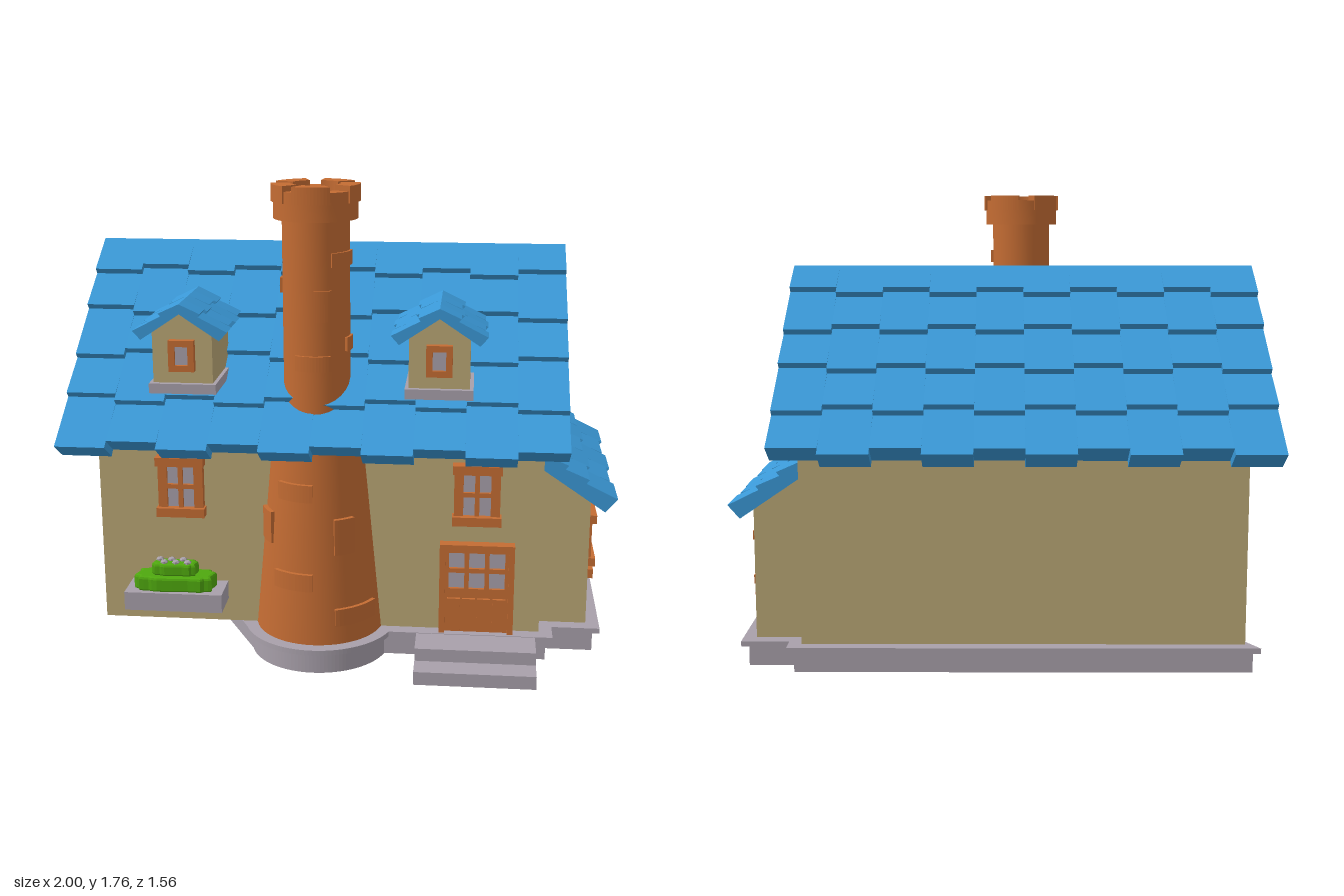
import * as THREE from 'three';
import { toCreasedNormals } from 'three/addons/utils/BufferGeometryUtils.js';

const mat = (name, color, side = THREE.FrontSide) => {
  const m = new THREE.MeshStandardMaterial({ color, side });
  m.name = name;
  return m;
};

export function createModel() {
  const wall = mat('sand plaster', 0xb9a675, THREE.DoubleSide);
  const blue = mat('blue tile', 0x3a98d6);
  const brown = mat('orange brown', 0xc46c33, THREE.DoubleSide);
  const grey = mat('grey stone', 0xa8a0aa);
  const green = mat('leaf green', 0x4fa80f);

  const root = new THREE.Group();
  root.name = 'cottage';

  const add = (parent, name, geo, material, x = 0, y = 0, z = 0) => {
    const m = new THREE.Mesh(geo, material);
    m.name = name;
    m.position.set(x, y, z);
    parent.add(m);
    return m;
  };
  const group = (name, x = 0, y = 0, z = 0, parent = root) => {
    const g = new THREE.Group();
    g.name = name;
    g.position.set(x, y, z);
    parent.add(g);
    return g;
  };
  // box given by its lower and upper corners
  const block = (parent, name, material, x0, x1, y0, y1, z0, z1) =>
    add(parent, name, new THREE.BoxGeometry(x1 - x0, y1 - y0, z1 - z0), material,
      (x0 + x1) / 2, (y0 + y1) / 2, (z0 + z1) / 2);
  const polygon = pts => new THREE.Shape(pts.map(p => new THREE.Vector2(p[0], p[1])));
  const extrude = (shape, depth, curveSegments = 20) =>
    new THREE.ExtrudeGeometry(shape, { depth, bevelEnabled: false, curveSegments });

  // drops the faces that point straight down, leaving a hollow shell
  const openBottom = geo => {
    const p = geo.getAttribute('position'), n = geo.getAttribute('normal');
    const pos = [], nor = [];
    for (let i = 0; i < p.count; i++) {
      if (n.getY(i) < -0.9) continue;
      pos.push(p.getX(i), p.getY(i), p.getZ(i));
      nor.push(n.getX(i), n.getY(i), n.getZ(i));
    }
    const out = new THREE.BufferGeometry();
    out.setAttribute('position', new THREE.Float32BufferAttribute(pos, 3));
    out.setAttribute('normal', new THREE.Float32BufferAttribute(nor, 3));
    return out;
  };

  // one roof slope: a row of stepped columns, slope along +x, length centred on z
  const roofSlope = (parent, name, o) => {
    const g = group(name, 0, 0, 0, parent);
    const w = o.length / o.cols;
    for (let c = 0; c < o.cols; c++) {
      const pts = [[0, 0], [0, o.thick]];
      for (let r = 1; r <= o.rows; r++) {
        const short = (c + r + o.rows + (o.parity || 0)) % 2 ? o.stagger : 0;
        const u = o.run * r / o.rows - short;
        pts.push([u, o.thick + o.step - o.slope * u]);
        const v = r < o.rows ? u - o.step * 0.5 : u - o.cut;
        pts.push([v, (r < o.rows ? o.thick : 0) - o.slope * v]);
      }
      add(g, 'tileColumn', extrude(polygon(pts), w), blue, 0, 0, -o.length / 2 + c * w);
    }
    return g;
  };

  // foundation outline grown by e around the walls, with the round chimney foot
  const outline = (path, e) => {
    const R = 0.235 + e, a = Math.asin((0.05 + e) / R);
    path.moveTo(-0.92 - e, 0.51 + e);
    path.absarc(-0.1, 0.46, R, Math.PI - a, a, true);
    [[0.725, 0.51], [0.725, 0.415], [0.905, 0.415], [0.905, -0.43], [0.725, -0.43], [0.725, -0.51], [-0.92, -0.51]]
      .forEach(([x, z]) => path.lineTo(x + Math.sign(x) * e, z + Math.sign(z) * e));
    path.closePath();
    return path;
  };
  [['foundation', 0.025, 0.08, 0.08], ['foundationLip', 0.05, 0.1, 0.02]].forEach(([name, e, top, h]) => {
    const s = outline(new THREE.Shape(), e);
    s.holes.push(outline(new THREE.Path(), -0.03));
    add(root, name, extrude(s, h, 24).rotateX(Math.PI / 2), grey, 0, top, 0);
  });
  block(root, 'upperStep', grey, 0.27, 0.71, 0.05, 0.098, 0.545, 0.69);
  block(root, 'lowerStep', grey, 0.27, 0.71, 0, 0.05, 0.53, 0.78);

  // walls
  const gable = polygon([[-0.51, 0.1], [0.51, 0.1], [0.51, 0.96], [0, 1.39], [-0.51, 0.96]]);
  add(root, 'mainWalls', openBottom(extrude(gable, 1.645).rotateY(Math.PI / 2)), wall, -0.92);
  const lean = polygon([[0.725, 0.1], [0.905, 0.1], [0.905, 0.6], [0.725, 0.725]]);
  add(root, 'annexWalls', openBottom(extrude(lean, 0.845)), wall, 0, 0, -0.43);

  // main roof
  [1, -1].forEach(s => {
    const g = group(s > 0 ? 'frontRoof' : 'backRoof', -0.1, 1.38, 0);
    roofSlope(g, 'slope', { length: 1.8, cols: 10, rows: 5, run: 0.78, slope: 0.84, thick: 0.1,
      step: 0.035, cut: 0.09, stagger: 0.022, parity: s > 0 ? 1 : 0 });
    g.rotation.y = -s * Math.PI / 2;
  });
  // annex roof
  roofSlope(group('annexRoof', 0.725, 0.715, 0.005), 'slope', { length: 0.89, cols: 5, rows: 3, run: 0.275,
    slope: 0.68, thick: 0.06, step: 0.022, cut: 0.045, stagger: 0.014 });

  // window facing +z, origin at its centre on the wall
  const window_ = (parent, name, x, y, z, w, h, cols, rows, border, lintel = 0) => {
    const g = group(name, x, y, z, parent);
    const bar = border * 0.5, W = w - 2 * lintel;
    const s = polygon([[-W / 2, -h / 2], [W / 2, -h / 2], [W / 2, h / 2], [-W / 2, h / 2]]);
    const pw = (W - 2 * border - (cols - 1) * bar) / cols, ph = (h - 2 * border - (rows - 1) * bar) / rows;
    for (let i = 0; i < cols; i++) for (let j = 0; j < rows; j++) {
      const a = -W / 2 + border + i * (pw + bar), b = -h / 2 + border + j * (ph + bar);
      const hole = new THREE.Path();
      hole.moveTo(a, b).lineTo(a, b + ph).lineTo(a + pw, b + ph).lineTo(a + pw, b).closePath();
      s.holes.push(hole);
    }
    add(g, 'frame', extrude(s, 0.028), brown);
    add(g, 'glass', new THREE.BoxGeometry(W - border, h - border, 0.008), grey, 0, 0, 0.012);
    if (lintel) [-1, 1].forEach(k =>
      add(g, k > 0 ? 'lintel' : 'sill', new THREE.BoxGeometry(w, border, 0.045), brown, 0, k * (h - border) / 2, 0.0225));
    return g;
  };
  [-0.61, 0.485].forEach(x => window_(root, 'frontWindow', x, 0.64, 0.51, 0.18, 0.23, 2, 2, 0.034, 0.006));
  window_(root, 'gableWindow', 0.725, 0.967, 0, 0.26, 0.28, 2, 3, 0.034, 0.008).rotation.y = Math.PI / 2;
  [0.13, -0.127].forEach(z =>
    window_(root, 'annexWindow', 0.905, 0.355, z, 0.18, 0.21, 2, 2, 0.034, 0.006).rotation.y = Math.PI / 2);
  block(root, 'annexWindowSill', brown, 0.9, 0.94, 0.215, 0.252, -0.25, 0.255);

  // door: glazed top over vertical planks
  const door = window_(root, 'door', 0.49, 0.345, 0.51, 0.275, 0.21, 3, 2, 0.034);
  block(door, 'doorPanel', brown, -0.1375, 0.1375, -0.245, -0.1, 0, 0.022);
  for (let i = 0; i < 4; i++)
    block(door, 'plank', brown, -0.108 + i * 0.056, -0.06 + i * 0.056, -0.235, -0.11, 0.02, 0.033);
  [-1, 1].forEach(s => block(door, 'doorPost', brown, s * 0.127 - 0.0105, s * 0.127 + 0.0105, -0.245, 0.105, 0, 0.04));
  block(door, 'doorHead', brown, -0.1375, 0.1375, 0.075, 0.105, 0, 0.042);

  // planter with stacked bushes and pale flowers
  block(root, 'planter', grey, -0.81, -0.445, 0.19, 0.26, 0.5, 0.65);
  const bush = (y, h, rx, rz) => {
    const pts = [];
    for (let i = 0; i < 40; i++) {
      const a = i / 40 * Math.PI * 2, k = 1 + 0.05 * Math.sin(a * 10);
      const sq = v => Math.sign(v) * Math.sqrt(Math.abs(v));
      pts.push([sq(Math.cos(a)) * rx * k, sq(Math.sin(a)) * rz * k]);
    }
    const geo = new THREE.ExtrudeGeometry(polygon(pts), { depth: h - 0.02, bevelSize: 0.01, bevelThickness: 0.01, bevelOffset: -0.01, bevelSegments: 2 });
    add(root, 'bush', geo.rotateX(-Math.PI / 2), green, -0.63, y + 0.01, 0.58);
  };
  bush(0.255, 0.06, 0.145, 0.055);
  bush(0.31, 0.05, 0.082, 0.035);
  for (let i = 0; i < 6; i++)
    add(root, 'flower', new THREE.IcosahedronGeometry(0.016, 0).scale(1, 0.6, 1), grey,
      -0.69 + i * 0.022, 0.363, 0.58 + (i % 2 ? 0.014 : -0.014));

  // chimney foot: half cone against the front wall, leaning back at the bottom
  const foot = new THREE.CylinderGeometry(0.165, 0.24, 0.74, 28, 1, true, -Math.PI / 2, Math.PI);
  const fp = foot.getAttribute('position');
  for (let i = 0; i < fp.count; i++) fp.setZ(i, fp.getZ(i) + 0.48 + fp.getY(i) * 0.054);
  foot.computeVertexNormals();
  add(root, 'chimneyFoot', foot, brown, -0.1, 0.47, 0);

  // chimney shaft and cap, hollow
  const profile = [[0.12, 0.87], [0.12, 1.64], [0.15, 1.64], [0.15, 1.74], [0.09, 1.74], [0.09, 0.87]];
  const lathe = new THREE.LatheGeometry(profile.map(p => new THREE.Vector2(p[0], p[1])), 28);
  add(root, 'chimneyShaft', toCreasedNormals(lathe, 0.6), brown, -0.1, 0, 0.51);

  // curved brick standing proud of the chimney (angles in degrees, 90 = front)
  const brick = (deg, half, y, h, r0, r1, cz) => {
    const a = (deg - half) * Math.PI / 180, b = (deg + half) * Math.PI / 180;
    const s = new THREE.Shape();
    s.absarc(0, 0, r1, a, b, false);
    s.absarc(0, 0, r0, b, a, true);
    s.closePath();
    add(root, 'chimneyBrick', extrude(s, h, 6).rotateX(Math.PI / 2), brown, -0.1, y + h / 2, cz);
  };
  [[111, 21, 0.675, 0.065], [110, 20, 0.34, 0.065], [57, 11, 0.51, 0.135], [48, 22, 0.205, 0.065], [152, 12, 0.52, 0.12]]
    .forEach(([d, w, y, h]) => {
      const t = (y - 0.1) / 0.74, r = 0.24 - 0.075 * t;
      brick(d, w, y, h, r - 0.02, r + 0.012, 0.46 + 0.04 * t);
    });
  [[73, 15, 1.345, 0.11], [90, 30, 1.14, 0.055], [30, 28, 1.505, 0.05], [12, 15, 1.2, 0.05], [200, 25, 1.4, 0.055], [275, 25, 1.3, 0.055]]
    .forEach(([d, w, y, h]) => brick(d, w, y, h, 0.105, 0.129, 0.51));
  [90, 10, 155, 225, 300].forEach(d => brick(d, 25, 1.73, 0.06, 0.088, 0.157, 0.51));

  // dormers
  [-0.545, 0.345].forEach(x => {
    const d = group('dormer', x, 0, 0);
    const face = polygon([[-0.105, 1.08], [0.105, 1.08], [0.105, 1.27], [0, 1.345], [-0.105, 1.27]]);
    add(d, 'dormerWalls', extrude(face, 0.3), wall, 0, 0, 0.415);
    block(d, 'dormerBase', grey, -0.118, 0.118, 1.05, 1.085, 0.41, 0.735);
    window_(d, 'dormerWindow', 0, 1.185, 0.712, 0.09, 0.11, 1, 1, 0.022);
    [1, -1].forEach(s => {
      const g = group('dormerRoof', 0, 1.335, 0.58, d);
      roofSlope(g, 'slope', { length: 0.34, cols: 4, rows: 2, run: 0.165, slope: 0.67, thick: 0.035,
        step: 0.015, cut: 0.028, stagger: 0.01, parity: s > 0 ? 1 : 0 });
      if (s < 0) g.rotation.y = Math.PI;
    });
  });

  return root;
}
